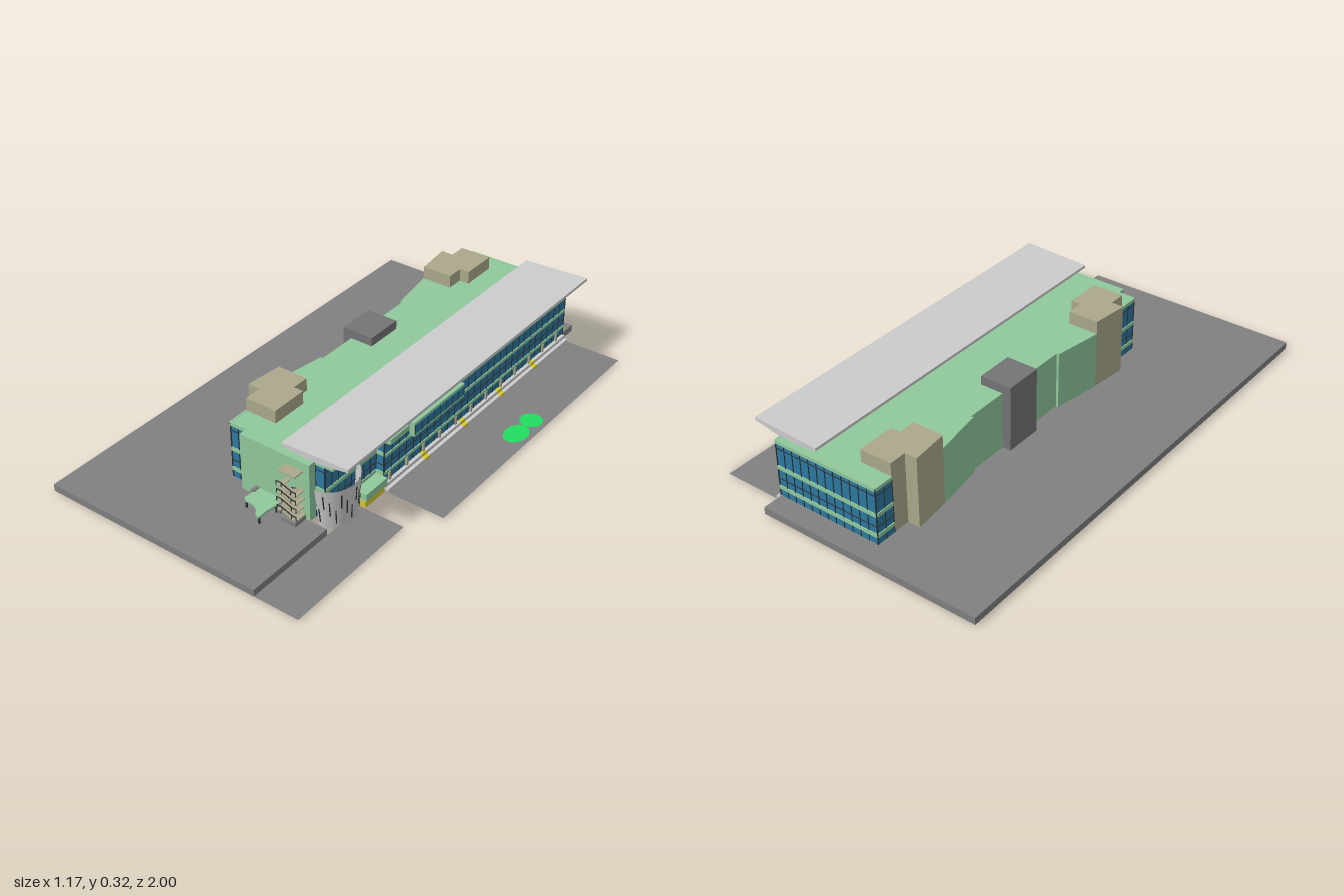
import * as THREE from 'three';

const mat = (color) => new THREE.MeshStandardMaterial({ color, side: THREE.DoubleSide, flatShading: true });
const GREEN = mat(0x90c89c), TAN = mat(0xaca88c), GLASS = mat(0x2c7aa2), DARK = mat(0x2c3338);
const PAVING = mat(0x808080), GREY = mat(0xcccccc), YELLOW = mat(0xd8c830), LEAF = mat(0x20dd60);
const FLOOR = 0.028;

export function createModel() {
  const root = new THREE.Group();
  const site = new THREE.Group();
  site.name = 'site';
  site.position.set(0.004, 0, 0.004);
  root.add(site);

  const add = (name, geo, material, parent = site) => {
    const m = new THREE.Mesh(geo, material);
    m.name = name;
    parent.add(m);
    return m;
  };
  const group = (name) => {
    const g = new THREE.Group();
    g.name = name;
    site.add(g);
    return g;
  };
  // box given by its limits
  const box = (name, x0, x1, y0, y1, z0, z1, material, parent) => {
    const m = add(name, new THREE.BoxGeometry(x1 - x0, y1 - y0, z1 - z0), material, parent);
    m.position.set((x0 + x1) / 2, (y0 + y1) / 2, (z0 + z1) / 2);
    return m;
  };
  // plan outline [x, z] -> shape
  const plan = (pts) => new THREE.Shape(pts.map(([x, z]) => new THREE.Vector2(x, -z)));
  const prism = (name, pts, y0, y1, material, parent) => {
    const g = new THREE.ExtrudeGeometry(plan(pts), { depth: y1 - y0, bevelEnabled: false });
    return add(name, g.rotateX(-Math.PI / 2).translate(0, y0, 0), material, parent);
  };
  const sheet = (name, pts, y, material, parent) =>
    add(name, new THREE.ShapeGeometry(plan(pts)).rotateX(-Math.PI / 2).translate(0, y, 0), material, parent);
  // open vertical wall along a path, standing on the plinth
  const wall = (name, pts, top, material, parent) => {
    const pos = [];
    for (let i = 0; i + 1 < pts.length; i++) {
      const [[ax, az], [bx, bz]] = [pts[i], pts[i + 1]];
      pos.push(ax, FLOOR, az, bx, FLOOR, bz, bx, top, bz, ax, FLOOR, az, bx, top, bz, ax, top, az);
    }
    const g = new THREE.BufferGeometry();
    g.setAttribute('position', new THREE.Float32BufferAttribute(pos, 3));
    g.computeVertexNormals();
    return add(name, g, material, parent);
  };
  // glass front from a to b with spandrel bands and mullions
  const facade = (name, [ax, az], [bx, bz], bands, n) => {
    const g = group(name);
    const L = Math.hypot(bx - ax, bz - az);
    g.position.set((ax + bx) / 2, 0, (az + bz) / 2);
    g.rotation.y = Math.atan2(az - bz, bx - ax);
    wall('glass', [[-L / 2, 0], [L / 2, 0]], 0.26, GLASS, g);
    for (const [y0, y1] of bands) box('spandrel', -L / 2, L / 2, y0, y1, -0.004, 0.004, GREEN, g);
    for (let i = 0; i <= n; i++) {
      const x = -L / 2 + (L * i) / n;
      box('mullion', x - 0.001, x + 0.001, 0.03, 0.255, -0.003, 0.003, DARK, g);
    }
    for (const y of [0.102, 0.228]) box('transom', -L / 2, L / 2, y - 0.001, y + 0.001, -0.003, 0.003, DARK, g);
  };

  // west wall line, shared by the roof and the opening in the plinth
  const bend = [[-0.155, -0.62], [-0.125, -0.42], [-0.115, -0.42], [-0.115, 0.08], [-0.125, 0.08], [-0.155, 0.28]];
  const west = [[-0.12, -0.92], [-0.12, -0.77], [-0.17, -0.77], ...bend, [-0.17, 0.43], [-0.12, 0.43], [-0.12, 0.585]];
  const front = [[-0.05, 0.585], [-0.05, 0.62], [0.25, 0.62]];

  // ground
  prism('plinth', [[-0.589, -1.004], [-0.589, 0.996], [0.32, 0.996], [0.32, 0.62], ...front.slice().reverse(),
    ...west.slice().reverse(), [0.32, -0.92], [0.32, -1.004]], 0, FLOOR, PAVING);
  sheet('road', [[0.28, -0.92], [0.28, 0.31], [0.581, 0.31], [0.581, -0.92]], 0.001, PAVING);
  sheet('forecourt', [[0.32, 0.43], [0.32, 0.996], [0.5, 0.996], [0.5, 0.43]], 0.001, PAVING);
  for (const [z, sz] of [[-0.358, 1], [-0.253, 1.4]]) {
    const c = add('shrub', new THREE.CircleGeometry(0.044, 24).rotateX(-Math.PI / 2), LEAF);
    c.position.set(0.521, 0.004, z);
    c.scale.z = sz;
  }

  // main block
  wall('westWall', bend, 0.26, GREEN);
  wall('frontWall', front, 0.26, GREEN);
  wall('frontReturn', [[0.25, 0.62], [0.25, 0.585]], 0.26, GREEN);
  sheet('roofDeck', [...west, ...front, [0.25, 0.585], [0.326, 0.585], [0.326, -0.92]], 0.26, GREEN);
  const bands = [[0.058, 0.073], [0.142, 0.157], [0.247, 0.261]];
  const eastBands = [[0.06, 0.071], [0.134, 0.146], [0.195, 0.205], [0.25, 0.261]];
  facade('eastFacade', [0.322, 0.3], [0.322, -0.92], eastBands, 28);
  facade('backFacade', [0.322, -0.92], [-0.12, -0.92], bands, 12);
  facade('frontLeftGlazing', [0.25, 0.585], [0.288, 0.585], bands, 1);
  facade('recessedEastGlazing', [0.288, 0.585], [0.288, 0.3], bands, 8);
  facade('recessReturn', [0.288, 0.3], [0.322, 0.3], bands, 1);
  facade('frontRightGlazing', [-0.12, 0.585], [-0.05, 0.585], bands, 2);
  facade('westBackGlazing', [-0.12, -0.92], [-0.12, -0.84], bands, 2);
  facade('westFrontGlazing', [-0.12, 0.5], [-0.12, 0.585], bands, 2);
  box('eaves', 0.285, 0.326, 0.25, 0.261, 0.3, 0.589, GREEN);

  // service towers, the second mirrored about the middle of the block
  const tower = [[-0.12, -0.84], [0.01, -0.84], [0.01, -0.69], [-0.03, -0.69], [-0.03, -0.62],
    [-0.155, -0.62], [-0.17, -0.77], [-0.12, -0.77]];
  const core = [[-0.15, -0.245], [-0.02, -0.245], [-0.02, -0.09], [-0.15, -0.09]];
  const shaft = (name, pts, top, material) => {
    const g = group(name);
    wall('shaftWalls', [...pts, pts[0]], top, material, g);
    sheet('shaftRoof', pts, top, material, g);
  };
  shaft('backServiceTower', tower, 0.312, TAN);
  shaft('frontServiceTower', tower.map(([x, z]) => [x, -0.34 - z]), 0.312, TAN);
  shaft('liftCore', core, 0.295, mat(0x747476));

  // flying roof with a curved underside
  const s = new THREE.Shape();
  s.moveTo(0.135, 0.305);
  s.lineTo(0.41, 0.316);
  s.lineTo(0.41, 0.304);
  s.splineThru([[0.32, 0.289], [0.25, 0.284], [0.19, 0.286], [0.135, 0.294]].map((p) => new THREE.Vector2(...p)));
  s.closePath();
  add('flyingRoof', new THREE.ExtrudeGeometry(s, { depth: 1.54, bevelEnabled: false, curveSegments: 4 })
    .translate(0, 0, -0.92), GREY);
  for (const z of [0.55, 0.28, -0.02, -0.3, -0.59, -0.88]) {
    for (const x of [0.187, 0.272]) box('roofPost', x - 0.008, x + 0.008, 0.26, 0.29, z - 0.008, z + 0.008, GREY);
    box('roofBeam', 0.165, 0.322, 0.279, 0.288, z - 0.01, z + 0.01, GREY);
  }

  // flared, slightly leaning corner drum with slit windows
  const drum = group('cornerDrum');
  drum.position.set(0.267, 0.087, 0.511);
  drum.rotation.x = 0.05;
  drum.scale.z = 1.1;
  add('drumShell', new THREE.CylinderGeometry(0.093, 0.078, 0.174, 28, 1, true, 0, Math.PI), GREY, drum);
  for (let i = 0; i < 14; i++) {
    const a = 0.1 + i * 0.225, y = [-0.03, 0.035, 0.005][i % 3];
    const slit = box('slitWindow', -0.002, 0.002, -0.03, 0.03, -0.001, 0.001, DARK, drum);
    const r = 0.0862 + y * 0.087;
    slit.position.set(Math.sin(a) * r, y, Math.cos(a) * r);
    slit.rotation.set(0.087, a, 0, 'YXZ');
  }

  // east side: balcony, bay, entrance, steps
  box('balcony', 0.287, 0.353, 0.204, 0.226, 0.196, 0.305, GREEN);
  box('bay', 0.322, 0.344, 0.145, 0.203, -0.164, 0.15, GREEN);
  box('bayGlass', 0.323, 0.346, 0.157, 0.193, -0.16, 0.147, GLASS);
  for (let i = 0; i < 9; i++) {
    const z = -0.157 + i * 0.038;
    box('bayMullion', 0.345, 0.3475, 0.157, 0.193, z - 0.0015, z + 0.0015, DARK);
  }
  box('entranceCanopy', 0.29, 0.341, 0.03, 0.06, 0.305, 0.426, GREEN);
  box('entranceDoors', 0.3, 0.336, 0.002, 0.028, 0.315, 0.426, YELLOW);
  box('upperStep', 0.316, 0.334, 0.002, 0.026, -0.92, 0.308, GREY);
  box('lowerStep', 0.334, 0.348, 0.002, 0.013, -0.92, 0.308, GREY);
  for (const z of [0.07, -0.18, -0.43, -0.67]) {
    box('upperStepMarking', 0.32, 0.335, 0.004, 0.027, z - 0.014, z + 0.014, YELLOW);
    box('lowerStepMarking', 0.335, 0.349, 0.004, 0.014, z - 0.014, z + 0.014, YELLOW);
  }
  for (let i = 0; i < 12; i++) {
    const z = 0.27 - i * 0.103;
    box('groundColumn', 0.322, 0.329, 0.026, 0.06, z - 0.005, z + 0.005, TAN);
  }

  // front porch with wavy canopy
  prism('porchCanopy', [[0.026, 0.62], [0.022, 0.69], [0.035, 0.7], [0.07, 0.702], [0.095, 0.715], [0.11, 0.738],
    [0.129, 0.744], [0.129, 0.7], [0.136, 0.66], [0.136, 0.62]], 0.06, 0.067, GREEN);
  for (const [x, z] of [[0.03, 0.69], [0.12, 0.73], [0.128, 0.65]])
    box('porchPost', x - 0.003, x + 0.003, 0.028, 0.06, z - 0.003, z + 0.003, DARK);
  box('porchDoors', 0.032, 0.122, 0.028, 0.055, 0.62, 0.626, GREY);
  box('porchSide', 0.014, 0.03, 0.028, 0.072, 0.62, 0.65, PAVING);
  box('porchWall', 0.122, 0.144, 0.028, 0.06, 0.62, 0.65, PAVING);

  // zigzag fire stair
  const stair = group('fireStair');
  box('stairBase', 0.171, 0.231, 0.028, 0.045, 0.62, 0.676, PAVING, stair);
  box('stairHood', 0.15, 0.223, 0.221, 0.226, 0.62, 0.664, TAN, stair);
  for (let i = 0; i < 4; i++) {
    const y = 0.05 + i * 0.034;
    for (const [x0, x1, dy] of [[0.148, 0.17, 0.017], [0.21, 0.23, 0]]) {
      box('landing', x0, x1, y + dy - 0.003, y + dy, 0.62, 0.671, TAN, stair);
      box('landingRail', x0, x1, y + dy + 0.014, y + dy + 0.017, 0.668, 0.671, DARK, stair);
      for (const x of [x0, x1]) box('railPost', x - 0.001, x + 0.001, y + dy, y + dy + 0.017, 0.668, 0.671, DARK, stair);
    }
    for (const [z, dir] of [[0.658, -1], [0.633, 1]]) {
      const yc = y + 0.008 + (dir > 0 ? -0.017 : 0);
      const f = box('flight', 0.166, 0.214, yc - 0.003, yc + 0.002, z - 0.012, z + 0.012, TAN, stair);
      f.rotation.z = dir * 0.36;
      const r = box('flightRail', 0.166, 0.214, yc + 0.013, yc + 0.016, z + 0.009, z + 0.012, DARK, stair);
      r.rotation.z = dir * 0.36;
    }
  }

  return root;
}
